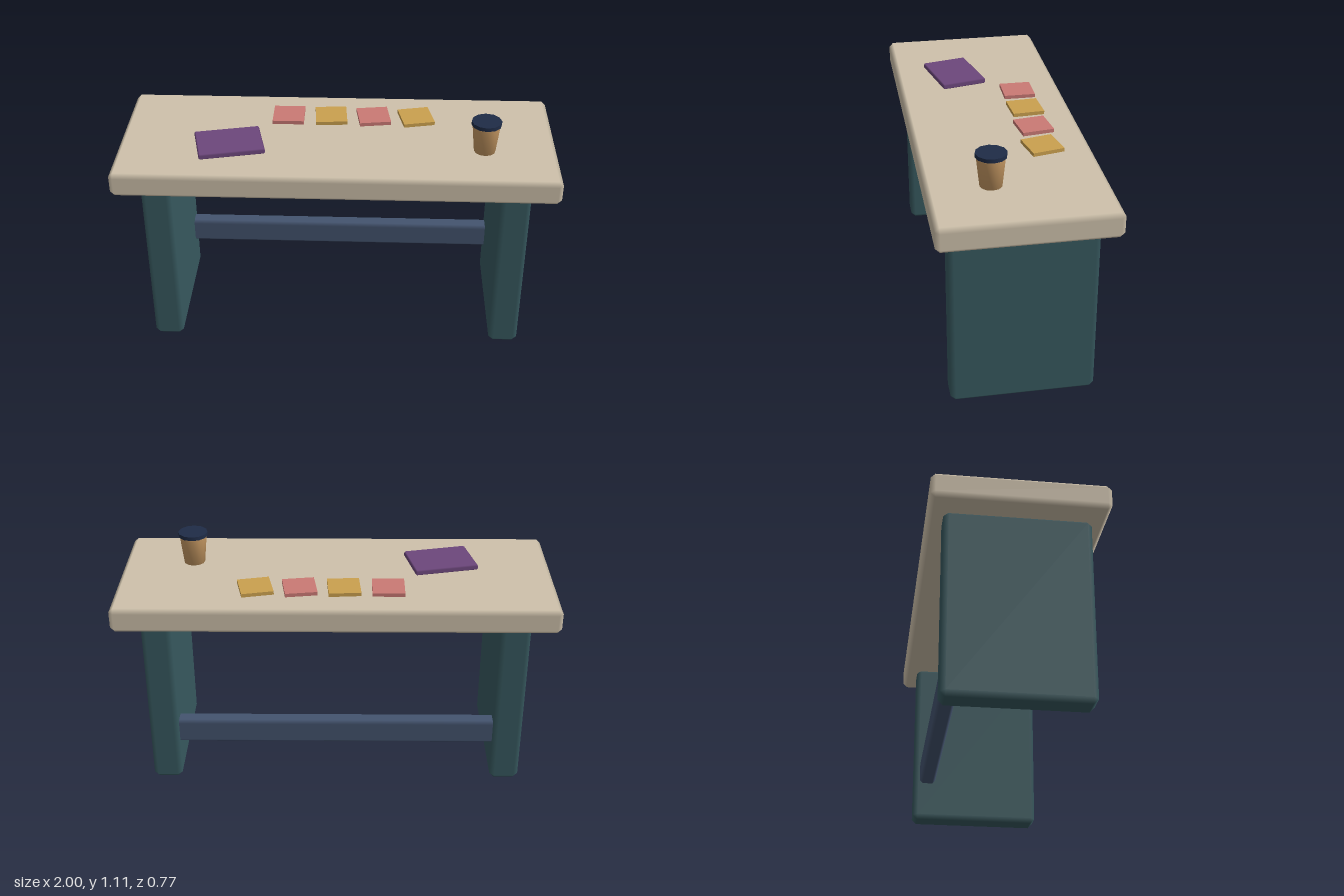
import * as THREE from 'three';
import { ConvexGeometry } from 'three/addons/geometries/ConvexGeometry.js';

const mat = (name, color) => {
  const m = new THREE.MeshStandardMaterial({ color });
  m.name = name;
  return m;
};

// Box with single-step chamfers; the normals stay flat on faces and blend over the chamfers
function chamferBox(w, h, d, r) {
  const half = [w / 2, h / 2, d / 2];
  const points = [];
  for (let axis = 0; axis < 3; axis++)
    for (const sx of [-1, 1]) for (const sy of [-1, 1]) for (const sz of [-1, 1]) {
      const p = [sx, sy, sz].map((s, i) => s * (half[i] - (i === axis ? 0 : r)));
      points.push(new THREE.Vector3(...p));
    }
  const geo = new ConvexGeometry(points);
  const pos = geo.attributes.position, nor = geo.attributes.normal;
  for (let i = 0; i < pos.count; i++) {
    const p = [pos.getX(i), pos.getY(i), pos.getZ(i)];
    const n = p.map((v, k) => (Math.abs(v) > half[k] - r * 0.5 ? Math.sign(v) : 0));
    nor.setXYZ(i, ...n);
  }
  return geo;
}

export function createModel() {
  const group = new THREE.Group();
  const beige = mat('beige top', 0xcec1ab);
  const teal = mat('dark teal', 0x37595f);
  const slate = mat('slate blue', 0x44546f);
  const purple = mat('purple', 0x6d477c);
  const pink = mat('pink', 0xca7974);
  const mustard = mat('mustard', 0xcaa04e);
  const navy = mat('navy', 0x1f2c47);
  const tan = mat('cardboard tan', 0xc89a64);

  const add = (name, geo, material, x, y, z, turn = 0) => {
    const m = new THREE.Mesh(geo, material);
    m.name = name;
    m.position.set(x, y, z);
    m.rotation.y = turn;
    group.add(m);
    return m;
  };

  // Table: top, two slab legs and a rear stretcher
  const topY = 0.955;
  add('tableTop', chamferBox(2, 0.115, 0.77, 0.02), beige, 0, 0.8975, 0);
  for (const s of [-1, 1])
    add(s > 0 ? 'leftLeg' : 'rightLeg', chamferBox(0.135, 0.85, 0.64, 0.022), teal, s * 0.81, 0.425, 0);
  add('stretcher', chamferBox(1.54, 0.12, 0.08, 0.015), slate, 0, 0.25, -0.25);

  // Notebook
  add('notebook', chamferBox(0.3, 0.026, 0.22, 0.006), purple, -0.492, topY + 0.012, 0.102, 0.22);

  // Row of note pads, each turned a little further
  for (let i = 0; i < 4; i++)
    add('notePad' + (i + 1), new THREE.BoxGeometry(0.147, 0.018, 0.147),
      i % 2 ? mustard : pink, -0.237 + i * 0.201, topY + 0.008, -0.171, i * 0.07);

  // Cup with lid
  const profile = [[0, 0], [0.049, 0], [0.063, 0.13], [0.06, 0.136], [0, 0.136]]
    .map(([r, y]) => new THREE.Vector2(r, y));
  add('cup', new THREE.LatheGeometry(profile, 12), tan, 0.672, topY, 0.11);
  add('cupLid', new THREE.CylinderGeometry(0.068, 0.068, 0.018, 12), navy, 0.672, topY + 0.144, 0.11);

  return group;
}
